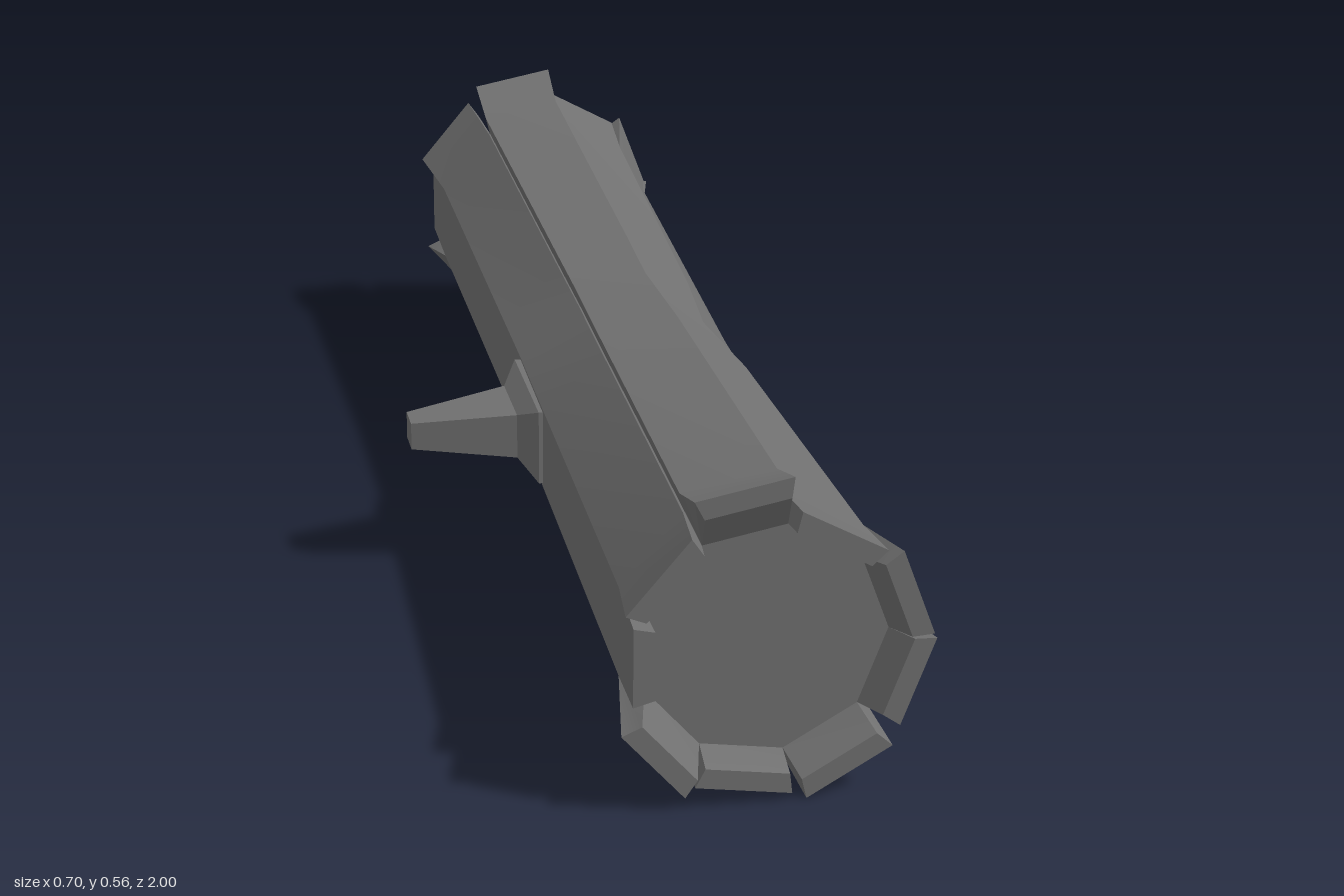
import * as THREE from 'three';
import { toCreasedNormals } from 'three/addons/utils/BufferGeometryUtils.js';

const material = new THREE.MeshStandardMaterial({ color: 0x707070 });
const rad = THREE.MathUtils.degToRad;
const V = (x, y, z) => new THREE.Vector3(x, y, z);

// Skin a list of equal-sized rings and close both ends
function loft(name, rings) {
  const pos = [];
  const tri = (a, b, c) => [a, b, c].forEach((p) => pos.push(p.x, p.y, p.z));
  const n = rings[0].length;
  for (let i = 0; i < rings.length - 1; i++) {
    for (let j = 0; j < n; j++) {
      const k = (j + 1) % n;
      const a = rings[i][j], b = rings[i][k], c = rings[i + 1][k], d = rings[i + 1][j];
      tri(a, d, c);
      tri(a, c, b);
    }
  }
  const last = rings[rings.length - 1];
  for (let j = 1; j < n - 1; j++) {
    tri(rings[0][0], rings[0][j], rings[0][j + 1]);
    tri(last[0], last[j + 1], last[j]);
  }
  const geometry = new THREE.BufferGeometry();
  geometry.setAttribute('position', new THREE.Float32BufferAttribute(pos, 3));
  const mesh = new THREE.Mesh(toCreasedNormals(geometry, 0.5), material);
  mesh.name = name;
  return mesh;
}

const SIDES = 9;
const centreX = (z) => 0.076 + 0.004 * z;

// Nine-sided ring; the dents pull in the corners at 40, 80 and 120 degrees
function ring(z, radius, dents = [0, 0, 0]) {
  return Array.from({ length: SIDES }, (_, i) => {
    const r = radius - (i >= 1 && i <= 3 ? dents[i - 1] : 0);
    const a = rad(i * 40);
    return V(centreX(z) + r * Math.cos(a), 0.266 + r * Math.sin(a), z);
  });
}

// Outward direction of a side
const outward = (i) => V(Math.cos(rad(i * 40 + 20)), Math.sin(rad(i * 40 + 20)), 0);

// Two points of a bark edge at a distance from the axis, slid sideways by shift
function edge(i, dist, halfWidth, shift, z) {
  const n = outward(i), t = V(-n.y, n.x, 0);
  return [-1, 1].map((k) =>
    V(centreX(z), 0.27, z).addScaledVector(n, dist).addScaledVector(t, shift + k * halfWidth));
}

export function createModel() {
  const group = new THREE.Group();
  group.name = 'log';

  // Rings along the trunk: z, radius, dents
  const stations = [
    [0.87, 0.233],
    [0.2, 0.221, [0.02, 0.015, 0.012]],
    [-0.04, 0.216, [0.04, 0.028, 0.022]],
    [-0.2, 0.215, [0.027, 0.021, 0.016]],
    [-0.88, 0.211],
  ];
  const bark = stations.map(([z, r, dents]) => ring(z, r, dents));
  const wood = stations.map(([z, r, dents]) => ring(z, r - 0.027, dents));
  const capFront = ring(0.94, 0.205), capBack = ring(-0.94, 0.186);
  group.add(loft('wood', [capFront, ...wood, capBack]));

  // Bark tips per side: distance from the axis at front and back, sideways shift
  const tips = [
    [0.251, 0.226, 0], [0.232, 0.207, 0], [0.285, 0.262, -0.006], [0.241, 0.227, 0],
    [0.224, 0.2, 0], [0.263, 0.23, 0.017], [0.245, 0.222, 0], [0.262, 0.234, 0],
    [0.251, 0.228, 0.012],
  ];
  const THICK = 0.035;
  const section = ([inA, inB], [outA, outB]) => [inA, outA, outB, inB];

  // Strips of bark along the length, flared at both ends
  tips.forEach(([front, back, shift], i) => {
    const j = (i + 1) % SIDES;
    const raised = i === 2, straight = i === 4;
    const zEnd = raised ? 0.975 : i === 1 ? 0.99 : 1;
    const half = straight ? 0.07 : 0.081;
    const pair = (r) => [r[i], r[j]];
    // The top strip stands proud of its neighbours
    const outer = (r) =>
      pair(r).map((p) => p.clone().addScaledVector(outward(i), raised ? 0.035 : 0));
    const tip = (dist, width, z) => section(
      edge(i, dist - THICK, width * 0.87, shift, z), edge(i, dist, width, shift, z));
    const inner = [capFront, ...wood.slice(1, 4), capBack];
    group.add(loft(raised ? 'raisedBark' : 'barkStrip', [
      tip(front, half, zEnd),
      ...bark.map((r, s) => section(pair(inner[s]), outer(r))),
      tip(back, half - 0.006, -zEnd),
    ]));
  });

  // Branch stub with a flared foot
  const rect = (x, z0, z1, y0, y1) => [V(x, y0, z0), V(x, y0, z1), V(x, y1, z1), V(x, y1, z0)];
  group.add(loft('branch', [
    rect(-0.35, 0.05, 0.1, 0.244, 0.294),
    rect(-0.167, 0.012, 0.138, 0.228, 0.311),
    rect(-0.138, -0.04, 0.19, 0.199, 0.337),
    rect(-0.1, -0.04, 0.19, 0.203, 0.334),
  ]));

  return group;
}
